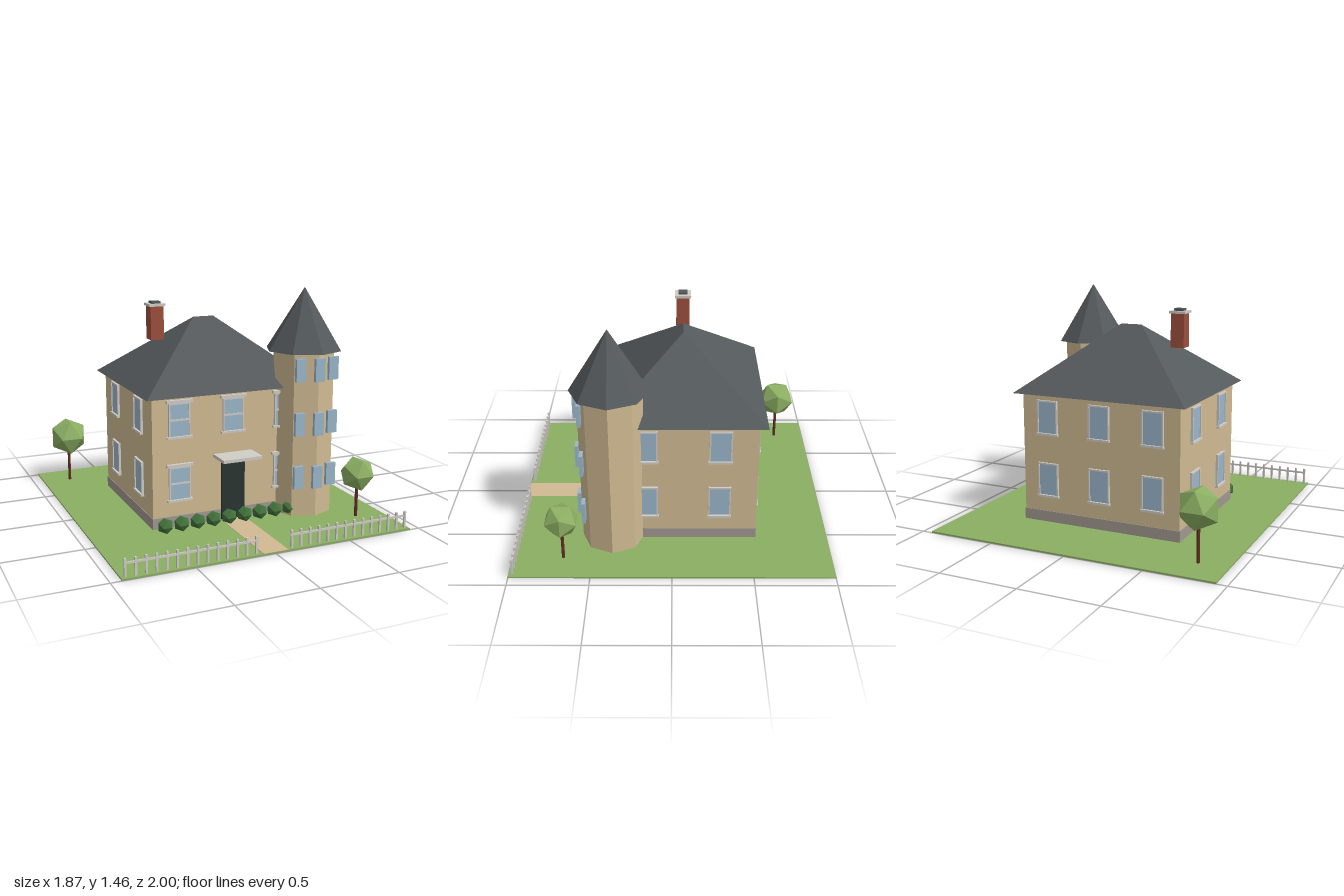
import * as THREE from 'three';
import { ConvexGeometry } from 'three/addons/geometries/ConvexGeometry.js';

export function createModel() {
  const model = new THREE.Group();
  model.name = 'house';

  const mat = (name, color) => {
    const m = new THREE.MeshStandardMaterial({ color, flatShading: true });
    m.name = name;
    return m;
  };
  const sandstone = mat('sandstone', 0xd0ba92);
  const trim = mat('trim', 0xd0ccc6);
  const slate = mat('slate', 0x54595c);
  const glass = mat('glass', 0x9ab6ca);
  const doorDark = mat('doorDark', 0x2b3432);
  const grass = mat('grass', 0x8bae62);
  const hedge = mat('hedge', 0x40703a);
  const brick = mat('brick', 0x9c4f3c);
  const bark = mat('bark', 0x5e2f22);
  const stone = mat('stone', 0xa1978f);

  const add = (name, geometry, material, x, y, z, parent = model) => {
    const mesh = new THREE.Mesh(geometry, material);
    mesh.name = name;
    mesh.position.set(x, y, z);
    parent.add(mesh);
    return mesh;
  };
  const box = (name, w, h, d, material, x, y, z, parent) =>
    add(name, new THREE.BoxGeometry(w, h, d), material, x, y, z, parent);

  // Ground
  box('lawn', 1.87, 0.01, 2, grass, 0, 0.005, 0);
  box('path', 0.16, 0.008, 0.6, sandstone, 0, 0.009, 0.7);

  // Main block, centred at z = -0.07
  const cz = -0.07, hw = 0.535, hd = 0.465;
  box('walls', hw * 2, 0.83, hd * 2, sandstone, 0, 0.425, cz);
  box('foundation', hw * 2 + 0.008, 0.07, hd * 2 + 0.008, stone, 0, 0.045, cz);

  // Hip roof with a short ridge
  const roofPoints = [];
  for (const sx of [-1, 1]) {
    roofPoints.push(new THREE.Vector3(0.07 * sx, 1.25, cz));
    for (const sz of [-1, 1]) roofPoints.push(new THREE.Vector3(0.582 * sx, 0.84, cz + 0.515 * sz));
  }
  add('hipRoof', new ConvexGeometry(roofPoints), slate, 0, 0, 0);

  // Chimney
  box('chimneyStack', 0.088, 0.215, 0.088, brick, -0.337, 1.228, cz);
  box('chimneyCap', 0.108, 0.016, 0.108, trim, -0.337, 1.343, cz);
  box('chimneyFlue', 0.06, 0.014, 0.06, slate, -0.337, 1.358, cz);

  // Windows face local +z; front ones carry a lintel and a meeting rail
  const addWindow = (x, y, z, turn, ornate) => {
    const g = new THREE.Group();
    g.name = 'window';
    g.position.set(x, y, z);
    g.rotation.y = turn;
    model.add(g);
    const w = 0.128, h = 0.205;
    box('windowGlass', w, h, 0.008, glass, 0, 0, 0.004, g);
    for (const s of [-1, 1]) box('windowJamb', 0.009, h + 0.012, 0.015, trim, s * (w / 2 + 0.002), 0, 0.0075, g);
    box('windowHead', w, 0.01, 0.015, trim, 0, h / 2, 0.0075, g);
    box('windowSill', ornate ? 0.165 : 0.15, 0.014, 0.022, trim, 0, -h / 2 - 0.006, 0.011, g);
    if (ornate) {
      box('windowLintel', 0.172, 0.018, 0.022, trim, 0, h / 2 + 0.014, 0.011, g);
      box('windowRail', w, 0.012, 0.012, trim, 0, 0, 0.006, g);
    }
  };
  for (const y of [0.292, 0.695]) {
    for (const x of [-0.36, 0, 0.36]) {
      if (x !== 0 || y > 0.5) addWindow(x, y, cz + hd, 0, true);
      addWindow(x, y, cz - hd, Math.PI, false);
    }
    for (const z of [cz - 0.23, cz + 0.23]) {
      addWindow(hw, y, z, Math.PI / 2, false);
      addWindow(-hw, y, z, -Math.PI / 2, false);
    }
  }

  // Entrance
  box('door', 0.158, 0.385, 0.02, doorDark, 0, 0.207, cz + hd + 0.008);
  box('doorCanopy', 0.265, 0.02, 0.16, trim, 0, 0.44, cz + hd + 0.08);

  // Octagonal tower
  const tx = 0.505, tz = 0.375;
  add('towerWalls', new THREE.CylinderGeometry(0.2, 0.2, 1.065, 8), sandstone, tx, 0.5375, tz);
  add('towerRoof', new THREE.ConeGeometry(0.245, 0.395, 8), slate, tx, 1.265, tz);
  for (const y of [0.275, 0.622, 0.967]) {
    for (const a of [-0.58, 0, 0.58]) {
      box('towerWindow', 0.067, 0.146, 0.022, glass, tx + 0.211 * Math.sin(a), y, tz + 0.211 * Math.cos(a));
    }
  }

  // Faceted foliage
  const foliage = (name, r, material, x, y, z) => {
    const m = add(name, new THREE.IcosahedronGeometry(r, 0), material, x, y, z);
    m.rotation.y = Math.PI / 2;
    return m;
  };
  for (let i = 0; i < 9; i++) {
    foliage('bush', 0.054, hedge, -0.485 + i * 0.107, 0.057, 0.475).scale.y = 0.9;
  }
  for (const [x, y, z, r] of [[-0.75, 0.335, -0.785, 0.133], [0.745, 0.295, 0.68, 0.114]]) {
    const h = y - r * 0.6;
    add('treeTrunk', new THREE.CylinderGeometry(0.01, 0.01, h, 6), bark, x, h / 2 + 0.005, z);
    foliage('treeCrown', r, grass, x, y, z);
  }

  // Picket fence, open at the path
  for (const s of [-1, 1]) {
    for (let i = 0; i < 14; i++) {
      box('fencePicket', 0.013, 0.11, 0.013, trim, s * (0.908 - i * 0.061), 0.063, 0.976);
    }
    box('fenceRail', 0.81, 0.012, 0.008, trim, s * 0.508, 0.09, 0.976);
  }
  return model;
}
